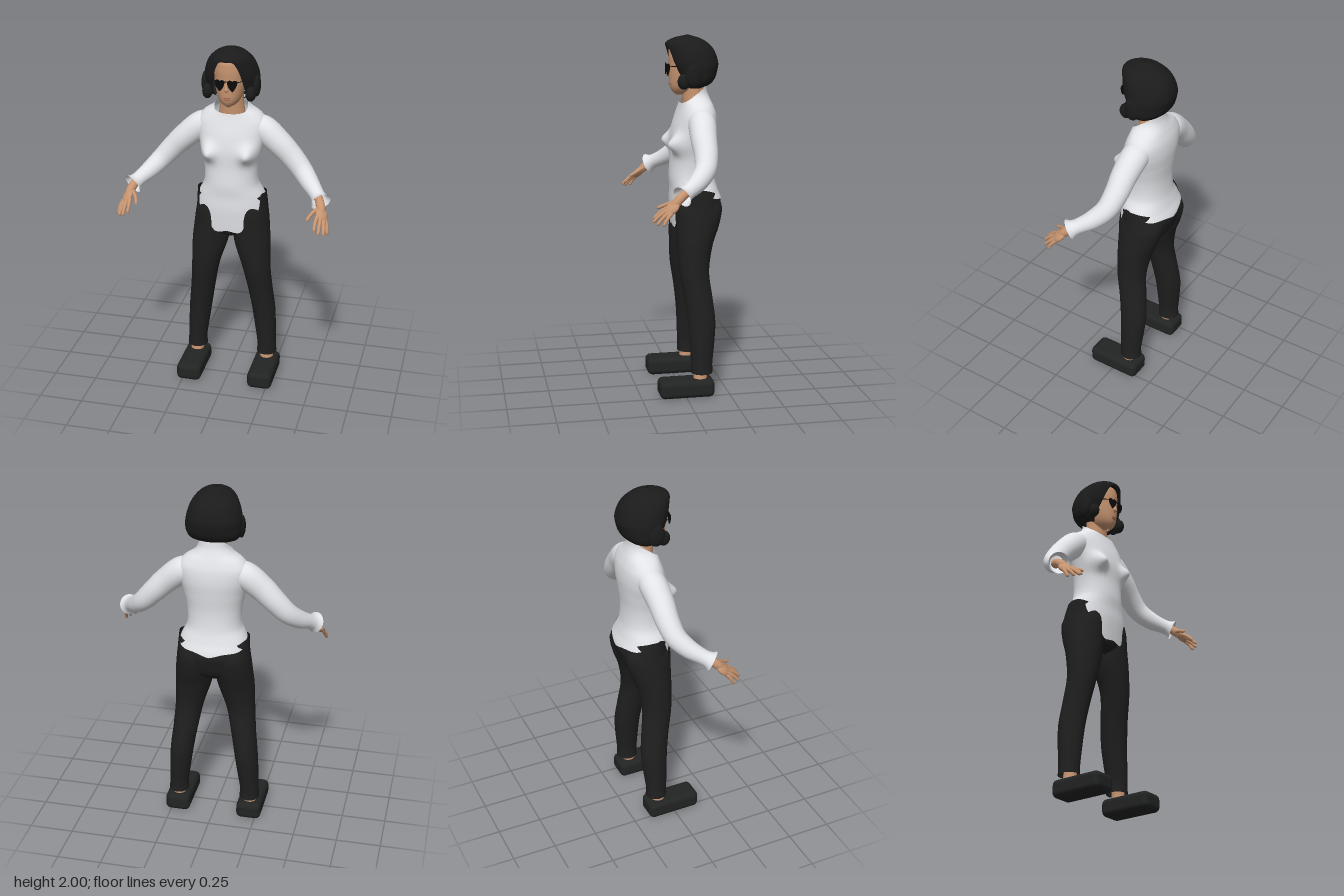
import * as THREE from 'three';
import { mergeVertices } from 'three/addons/utils/BufferGeometryUtils.js';
import { RoundedBoxGeometry } from 'three/addons/geometries/RoundedBoxGeometry.js';

const mat = (name, color, side = THREE.DoubleSide) => {
  const m = new THREE.MeshStandardMaterial({ color, side });
  m.name = name;
  return m;
};

// Smooth lookup in rows sorted by their first number; returns the other numbers
function sample(rows, k) {
  const n = rows.length - 1;
  k = Math.min(Math.max(k, rows[0][0]), rows[n][0]);
  let i = 0;
  while (i < n - 1 && k > rows[i + 1][0]) i++;
  const a = rows[i], b = rows[i + 1], p = rows[Math.max(i - 1, 0)], q = rows[Math.min(i + 2, n)];
  const h = b[0] - a[0], t = (k - a[0]) / h, t2 = t * t, t3 = t2 * t;
  return a.slice(1).map((v, c) => {
    const m0 = (b[c + 1] - p[c + 1]) / (b[0] - p[0]) * h;
    const m1 = (q[c + 1] - v) / (q[0] - a[0]) * h;
    return (2 * t3 - 3 * t2 + 1) * v + (t3 - 2 * t2 + t) * m0 + (3 * t2 - 2 * t3) * b[c + 1] + (t3 - t2) * m1;
  });
}

// Upright shell; profile rows are [y, centre x, half width, front z, back z].
// lo and hi give the lower and upper edge for the angle from the front (0 to PI).
function shell(profile, { lo, hi, s = 1, e = 2, rows = 40, cols = 64, bump } = {}) {
  const pos = [], idx = [];
  const y0 = profile[0][0], y1 = profile[profile.length - 1][0];
  const pw = (v) => Math.sign(v) * Math.abs(v) ** (2 / e);
  for (let i = 0; i <= rows; i++) {
    for (let j = 0; j < cols; j++) {
      const a = (j / cols) * Math.PI * 2, fa = Math.min(a, Math.PI * 2 - a);
      const bottom = lo ? lo(fa) : y0, top = hi ? hi(fa) : y1;
      const y = bottom + (top - bottom) * i / rows;
      const [cx, rx, zf, zb] = sample(profile, y);
      const x = cx * s + Math.max(rx, 0.001) * pw(Math.sin(a));
      const z = (zf + zb) / 2 + (zf - zb) / 2 * pw(Math.cos(a));
      pos.push(x, y, z + (bump && fa < 1.5 ? bump(x, y) : 0));
      if (i < rows) {
        const p = i * cols + j, q = i * cols + (j + 1) % cols;
        idx.push(p, q, q + cols, p, q + cols, p + cols);
      }
    }
  }
  const g = new THREE.BufferGeometry();
  g.setAttribute('position', new THREE.Float32BufferAttribute(pos, 3));
  g.setIndex(idx);
  g.computeVertexNormals();
  return g;
}

// Round limb through points [x, y, z, radius]
function limb(pts, s = 1, segs = 32, sides = 24) {
  const curve = new THREE.CatmullRomCurve3(pts.map(([x, y, z]) => new THREE.Vector3(x * s, y, z)));
  let g = new THREE.TubeGeometry(curve, segs, 1, sides);
  const pos = g.attributes.position, v = new THREE.Vector3();
  const radii = pts.map((p, i) => [i, p[3]]);
  for (let i = 0; i <= segs; i++) {
    const c = curve.getPointAt(i / segs);
    const [r] = sample(radii, curve.getUtoTmapping(i / segs) * (pts.length - 1));
    for (let j = 0; j <= sides; j++) {
      const k = i * (sides + 1) + j;
      v.fromBufferAttribute(pos, k).sub(c).multiplyScalar(Math.max(r, 0.0008)).add(c);
      pos.setXYZ(k, v.x, v.y, v.z);
    }
  }
  g.deleteAttribute('uv');
  g.deleteAttribute('normal');
  g = mergeVertices(g, 1e-5);
  g.computeVertexNormals();
  return g;
}

export function createModel() {
  const root = new THREE.Group();
  root.name = 'woman';
  const skin = mat('skin', 0xc69470), lip = mat('lips', 0xa8705a);
  const white = mat('shirt white', 0xe2e3e7), black = mat('trouser black', 0x1f1f20);
  const hairMat = mat('hair black', 0x1b1b1c), shoeMat = mat('shoe black', 0x222323);
  const lensMat = mat('lens black', 0x0b0b0c);
  const add = (name, geo, material) => {
    const m = new THREE.Mesh(geo, material);
    m.name = name;
    root.add(m);
    return m;
  };
  const ball = (name, material, p, r) => {
    const m = add(name, new THREE.SphereGeometry(1, 28, 20), material);
    m.position.set(...p);
    m.scale.set(...r);
    return m;
  };

  // Shirt with raised back collar and scalloped hem
  const hem = [[0, 0.95], [0.3, 0.94], [0.42, 0.965], [0.55, 1.03], [0.9, 1.07], [1.2, 1.15],
    [1.6, 1.15], [2.2, 1.11], [2.8, 1.1], [3.15, 1.08]];
  add('shirt', shell([
    [0.92, 0, 0.2, 0.036, -0.2], [1.0, 0, 0.212, 0.042, -0.23], [1.08, 0, 0.206, 0.047, -0.243],
    [1.15, 0, 0.185, 0.046, -0.218], [1.22, 0, 0.153, 0.05, -0.2], [1.32, 0, 0.152, 0.045, -0.195],
    [1.42, 0, 0.172, 0.045, -0.205], [1.5, 0, 0.192, 0.03, -0.212], [1.57, 0, 0.196, 0.008, -0.206],
    [1.62, 0, 0.16, -0.008, -0.19], [1.655, 0, 0.108, -0.015, -0.175], [1.69, 0, 0.087, -0.02, -0.162],
    [1.75, 0, 0.085, -0.04, -0.155],
  ], {
    lo: (a) => sample(hem, a)[0],
    hi: (a) => 1.63 + 0.055 * (1 - Math.cos(a)),
    e: 2.2, rows: 80, cols: 96,
    bump: (x, y) => 0.055 * Math.exp(-(((Math.abs(x) - 0.115) / 0.045) ** 2) - ((y - 1.41) / 0.048) ** 2),
  }), white);

  // Trouser seat
  add('trouserSeat', shell([
    [0.89, 0, 0.02, -0.03, -0.11], [0.92, 0, 0.1, 0.015, -0.17], [0.96, 0, 0.18, 0.028, -0.205],
    [1.02, 0, 0.206, 0.033, -0.226], [1.08, 0, 0.202, 0.038, -0.236], [1.17, 0, 0.196, 0.03, -0.2],
  ], { e: 2.2, hi: (a) => 1.115 + 0.05 * Math.sin(a) ** 2 }), black);

  // Head, neck and face
  add('head', shell([
    [1.675, 0, 0.008, 0.01, -0.05], [1.69, 0, 0.038, 0.03, -0.09], [1.72, 0, 0.062, 0.045, -0.12],
    [1.77, 0, 0.078, 0.05, -0.14], [1.83, 0, 0.087, 0.05, -0.15], [1.9, 0, 0.086, 0.052, -0.15],
    [1.95, 0, 0.065, 0.035, -0.13], [1.975, 0, 0.005, -0.04, -0.06],
  ]), skin);
  add('neck', shell([
    [1.57, 0, 0.085, -0.03, -0.14], [1.64, 0, 0.07, -0.025, -0.145], [1.75, 0, 0.062, -0.02, -0.14],
  ], { rows: 10 }), skin);
  add('nose', limb([[0, 1.83, 0.046, 0.006], [0, 1.8, 0.054, 0.009], [0, 1.785, 0.056, 0.012],
    [0, 1.776, 0.05, 0.002]], 1, 16, 16), skin);
  ball('upperLip', lip, [0, 1.741, 0.045], [0.021, 0.005, 0.008]);
  ball('lowerLip', lip, [0, 1.733, 0.044], [0.018, 0.006, 0.008]);

  // Bobbed hair with an opening for the face
  const hairEdge = [[0, 1.945], [0.38, 1.935], [0.52, 1.87], [0.62, 1.78], [0.75, 1.725], [1, 1.715], [3.15, 1.715]];
  add('hair', shell([
    [1.715, 0, 0.09, -0.03, -0.13], [1.73, 0, 0.128, -0.01, -0.17], [1.76, 0, 0.146, 0.005, -0.2],
    [1.8, 0, 0.151, 0.03, -0.215], [1.85, 0, 0.15, 0.052, -0.222], [1.92, 0, 0.127, 0.066, -0.198],
    [1.96, 0, 0.096, 0.068, -0.16], [1.985, 0, 0.058, 0.025, -0.115], [2.0, 0, 0.004, -0.04, -0.06],
  ], { lo: (a) => sample(hairEdge, a)[0], rows: 50, cols: 96 }), hairMat);

  // Heart-shaped lens outline
  const heart = new THREE.Shape();
  heart.moveTo(0, -0.034);
  heart.bezierCurveTo(-0.012, -0.026, -0.03, 0.002, -0.027, 0.022);
  heart.quadraticCurveTo(-0.014, 0.036, 0, 0.022);
  heart.quadraticCurveTo(0.014, 0.036, 0.027, 0.022);
  heart.bezierCurveTo(0.03, 0.002, 0.012, -0.026, 0, -0.034);
  const lensGeo = new THREE.ExtrudeGeometry(heart, { depth: 0.005, bevelEnabled: false });
  add('glassesBridge', limb([[-0.014, 1.835, 0.064, 0.002], [0, 1.838, 0.066, 0.002],
    [0.014, 1.835, 0.064, 0.002]], 1, 8, 8), lensMat);

  for (const s of [1, -1]) {
    const side = s > 0 ? 'left' : 'right';
    const lens = add(side + 'Lens', lensGeo, lensMat);
    lens.position.set(s * 0.034, 1.817, 0.061);
    lens.rotation.y = s * 0.2;
    add(side + 'GlassesArm', limb([[0.06, 1.835, 0.056, 0.002], [0.088, 1.835, 0.02, 0.002],
      [0.095, 1.83, -0.05, 0.002]], s, 12, 8), lensMat);

    // Hair curls over the ear and beside the cheek
    ball(side + 'EarCurl', hairMat, [s * 0.143, 1.79, -0.06], [0.02, 0.062, 0.046]);
    ball(side + 'CheekCurl', hairMat, [s * 0.12, 1.755, -0.01], [0.028, 0.042, 0.035]);

    // Sleeve with flared cuff
    add(side + 'Sleeve', limb([
      [0.1, 1.55, -0.1, 0.06], [0.17, 1.53, -0.1, 0.075], [0.26, 1.46, -0.092, 0.071],
      [0.34, 1.38, -0.088, 0.064], [0.4, 1.315, -0.07, 0.058], [0.455, 1.262, -0.02, 0.051],
      [0.5, 1.228, 0.035, 0.042], [0.52, 1.213, 0.062, 0.044], [0.533, 1.203, 0.08, 0.058],
    ], s, 60, 32), white);

    // Hand: wrist and palm, then fingers
    add(side + 'Wrist', limb([[0.49, 1.235, 0.02, 0.026], [0.52, 1.21, 0.068, 0.024],
      [0.537, 1.18, 0.105, 0.025], [0.545, 1.155, 0.13, 0.02]], s, 16, 16), skin);
    const palm = ball(side + 'Palm', skin, [s * 0.547, 1.15, 0.135], [0.036, 0.019, 0.046]);
    palm.rotation.set(0.75, s * 0.2, s * -0.5, 'YXZ');
    const fingers = {
      Thumb: [[0.527, 1.18, 0.11], [0.495, 1.16, 0.155], [0.476, 1.137, 0.205]],
      Index: [[0.527, 1.148, 0.16], [0.522, 1.122, 0.197], [0.522, 1.09, 0.23]],
      Middle: [[0.545, 1.138, 0.16], [0.546, 1.108, 0.203], [0.547, 1.075, 0.238]],
      Ring: [[0.56, 1.13, 0.152], [0.568, 1.1, 0.19], [0.573, 1.065, 0.22]],
      Little: [[0.571, 1.127, 0.142], [0.582, 1.098, 0.167], [0.588, 1.062, 0.188]],
    };
    for (const [name, [a, b, c]] of Object.entries(fingers)) {
      const near = c.map((v, i) => v + (b[i] - v) * 0.15);
      add(side + name, limb([[...a, 0.012], [...b, 0.01], [...near, 0.008], [...c, 0.001]], s, 18, 12), skin);
    }

    // Trouser leg, ankle and shoe
    add(side + 'TrouserLeg', shell([
      [0.13, 0.21, 0.058, -0.035, -0.157], [0.18, 0.21, 0.054, -0.035, -0.155], [0.3, 0.2, 0.061, -0.03, -0.168],
      [0.42, 0.188, 0.067, -0.022, -0.176], [0.55, 0.17, 0.071, -0.005, -0.163], [0.7, 0.149, 0.081, 0.02, -0.147],
      [0.85, 0.123, 0.103, 0.029, -0.172], [0.95, 0.111, 0.106, 0.031, -0.208], [1.05, 0.104, 0.1, 0.033, -0.229],
      [1.1, 0.098, 0.09, 0.025, -0.215],
    ], { s, cols: 48 }), black);
    add(side + 'Ankle', limb([[0.212, 0.07, -0.085, 0.042], [0.21, 0.13, -0.088, 0.036],
      [0.207, 0.22, -0.09, 0.036]], s, 10, 20), skin);
    add(side + 'Shoe', new RoundedBoxGeometry(0.143, 0.1, 0.31, 5, 0.03), shoeMat)
      .position.set(s * 0.212, 0.05, -0.005);
  }
  return root;
}
